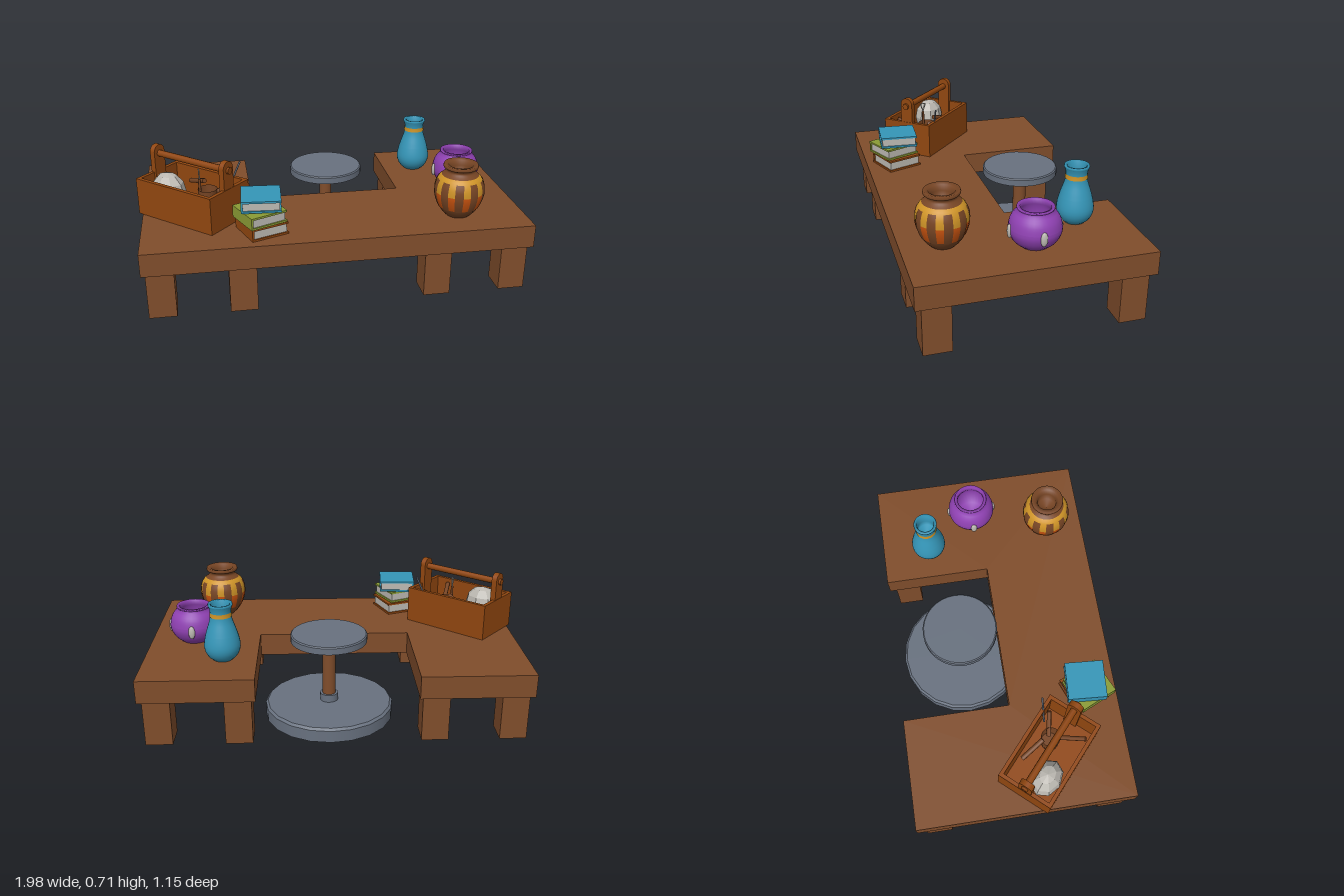
import * as THREE from 'three';

const mat = (name, color, side = THREE.DoubleSide) => {
  const m = new THREE.MeshStandardMaterial({ color, side });
  m.name = name;
  return m;
};

export function createModel() {
  const wood = mat('table wood', 0x804d2b);
  const boxWood = mat('toolbox wood', 0x914710);
  const metal = mat('grey metal', 0x68717f);
  const blue = mat('blue glaze', 0x3596b8);
  const purple = mat('purple glaze', 0x8f41b2);
  const gold = mat('gold glaze', 0xcf9427);
  const orange = mat('orange glaze', 0xc9530f);
  const green = mat('green cover', 0x8b9c35);
  const pale = mat('pale grey', 0xbcb9b2);
  const clay = mat('clay brown', 0x774524);

  const model = new THREE.Group();
  model.name = 'potteryTable';

  const add = (parent, name, geometry, material, x = 0, y = 0, z = 0) => {
    const mesh = new THREE.Mesh(geometry, material);
    mesh.name = name;
    mesh.position.set(x, y, z);
    parent.add(mesh);
    return mesh;
  };
  const group = (name, x, y, z, turn = 0) => {
    const g = new THREE.Group();
    g.name = name;
    g.position.set(x, y, z);
    g.rotation.y = THREE.MathUtils.degToRad(turn);
    model.add(g);
    return g;
  };
  const box = (w, h, d) => new THREE.BoxGeometry(w, h, d);
  const disc = (rTop, rBottom, h, sides = 20) => new THREE.CylinderGeometry(rTop, rBottom, h, sides);
  // Thin rod between two points
  const rod = (parent, name, a, b, r, material) => {
    const p = new THREE.Vector3(...a), q = new THREE.Vector3(...b);
    const mesh = add(parent, name, disc(r, r, p.distanceTo(q), 8), material);
    mesh.position.copy(p).lerp(q, 0.5);
    mesh.quaternion.setFromUnitVectors(new THREE.Vector3(0, 1, 0), q.sub(p).normalize());
    return mesh;
  };

  // Smooth pot outline, and slices of it for glaze bands
  const outline = (pts) => new THREE.SplineCurve(pts.map(p => new THREE.Vector2(...p))).getPoints(48);
  const radiusAt = (line, y) => {
    const i = Math.max(1, line.findIndex(p => p.y >= y));
    const a = line[i - 1], b = line[i];
    return THREE.MathUtils.lerp(a.x, b.x, (y - a.y) / (b.y - a.y));
  };
  const slice = (line, y0, y1, grow = 0, phi = 0, arc = Math.PI * 2, sides = 32) => {
    const pts = [];
    for (let i = 0; i <= 8; i++) {
      const y = THREE.MathUtils.lerp(y0, y1, i / 8);
      pts.push(new THREE.Vector2(radiusAt(line, y) + grow, y));
    }
    return new THREE.LatheGeometry(pts, sides, phi, arc);
  };
  const lathe = (pts) => new THREE.LatheGeometry(pts.map(p => new THREE.Vector2(...p)), 32);

  // U-shaped table top
  const top = new THREE.Shape([[-0.97, -0.575], [-0.395, -0.575], [-0.395, -0.005], [0.415, -0.005],
    [0.415, -0.575], [0.995, -0.575], [0.995, 0.575], [-0.97, 0.575]].map(p => new THREE.Vector2(...p)));
  const topGeo = new THREE.ExtrudeGeometry(top, { depth: 0.12, bevelEnabled: false });
  topGeo.rotateX(Math.PI / 2);
  add(model, 'tableTop', topGeo, wood, 0, 0.37, 0);

  // Eight square legs, open underneath
  const legGeo = new THREE.CylinderGeometry(0.0972, 0.0972, 0.25, 4, 1, true).rotateY(Math.PI / 4).toNonIndexed();
  legGeo.computeVertexNormals();
  for (const x of [-0.883, -0.483, 0.506, 0.908])
    for (const z of [-0.472, 0.474]) add(model, 'leg', legGeo, wood, x, 0.125, z);

  // Potter's wheel
  const wheel = group('pottersWheel', 0.045, 0, -0.208);
  add(wheel, 'flywheel', disc(0.342, 0.342, 0.063), metal, 0, 0.0315, 0);
  add(wheel, 'flywheelBevel', disc(0.33, 0.342, 0.012), metal, 0, 0.069, 0);
  add(wheel, 'collar', disc(0.048, 0.048, 0.04), metal, 0, 0.095, 0);
  add(wheel, 'shaft', disc(0.035, 0.035, 0.34), wood, 0, 0.255, 0);
  add(wheel, 'wheelHead', disc(0.202, 0.202, 0.034, 32), metal, 0, 0.437, 0);
  add(wheel, 'wheelHeadBevel', disc(0.196, 0.202, 0.006, 32), metal, 0, 0.457, 0);

  // Blue vase
  const vase = group('blueVase', 0.59, 0.37, -0.313);
  const vaseLine = outline([[0.05, 0], [0.077, 0.025], [0.092, 0.065], [0.088, 0.11], [0.073, 0.165],
    [0.058, 0.21], [0.053, 0.24], [0.053, 0.265], [0.06, 0.288]]);
  add(vase, 'vaseBody', slice(vaseLine, 0, 0.14), blue);
  add(vase, 'vaseNeck', slice(vaseLine, 0.14, 0.287), blue);
  add(vase, 'vaseBand', slice(vaseLine, 0.234, 0.256, 0.003), gold);
  add(vase, 'vaseLip', lathe([[0.06, 0.287], [0.063, 0.293], [0.06, 0.301], [0.047, 0.298], [0.044, 0.25], [0.05, 0.2], [0, 0.19]]), blue);

  // Purple pot with four inlaid stones
  const pot = group('purplePot', 0.765, 0.37, -0.045);
  const potLine = outline([[0.07, 0], [0.105, 0.03], [0.125, 0.07], [0.127, 0.1], [0.117, 0.14], [0.098, 0.168], [0.086, 0.18], [0.087, 0.19]]);
  add(pot, 'potBody', slice(potLine, 0, 0.1), purple);
  add(pot, 'potShoulder', slice(potLine, 0.1, 0.189), purple);
  add(pot, 'potLip', lathe([[0.087, 0.188], [0.09, 0.192], [0.088, 0.198], [0.072, 0.196], [0.074, 0.17], [0.1, 0.11], [0.075, 0.03], [0, 0.02]]), purple);
  for (let i = 0; i < 4; i++) {
    const a = i * Math.PI / 2;
    const stone = add(pot, 'stone', new THREE.SphereGeometry(1, 12, 8), pale, Math.sin(a) * 0.125, 0.084, Math.cos(a) * 0.125);
    stone.scale.set(0.018, 0.036, 0.012);
    stone.rotation.y = a;
  }

  // Striped urn
  const urn = group('stripedUrn', 0.65, 0.37, 0.368);
  const urnLine = outline([[0.06, 0], [0.085, 0.025], [0.107, 0.06], [0.123, 0.105], [0.127, 0.14],
    [0.122, 0.18], [0.105, 0.213], [0.085, 0.228], [0.071, 0.242], [0.075, 0.256], [0.086, 0.262]]);
  for (const [name, y0, y1, m] of [['urnFoot', 0, 0.053, clay], ['urnBelly', 0.053, 0.135, orange],
    ['urnShoulder', 0.135, 0.222, gold], ['urnNeck', 0.222, 0.261, clay]])
    add(urn, name, slice(urnLine, y0, y1), m);
  add(urn, 'urnLip', lathe([[0.086, 0.261], [0.089, 0.268], [0.086, 0.28], [0.062, 0.275], [0.05, 0.25], [0.05, 0.2], [0, 0.19]]), clay);
  for (let i = 0; i < 10; i++)
    add(urn, 'urnStripe', slice(urnLine, 0.05, 0.203, 0.002, Math.PI / 2 + i * Math.PI / 5 - 0.17, 0.34, 4), clay);

  // Stack of three books, spines on the left edge
  const book = (name, x, y, z, turn, h, cover) => {
    const g = group(name, x, y, z, turn);
    add(g, 'pages', box(0.18, h - 0.02, 0.185), pale, 0, h / 2, 0);
    for (const cy of [0.005, h - 0.005]) add(g, 'cover', box(0.195, 0.01, 0.2), cover, 0, cy, 0);
    add(g, 'spine', box(0.01, h, 0.2), cover, -0.0935, h / 2, 0);
  };
  book('lowerBook', -0.373, 0.372, 0.405, 21, 0.064, boxWood);
  book('middleBook', -0.383, 0.44, 0.418, 24, 0.062, green);
  book('upperBook', -0.373, 0.506, 0.395, -4, 0.06, blue);

  // Open toolbox
  const tools = group('toolbox', -0.705, 0.37, 0.15, -41.5);
  const L = 0.49, W = 0.302, H = 0.195, T = 0.02;
  add(tools, 'toolboxFloor', box(L - T, T, W - T), boxWood, 0, T / 2 + 0.001, 0);
  for (const s of [-1, 1]) {
    add(tools, 'toolboxSide', box(L, H, T), boxWood, 0, H / 2, s * (W - T) / 2);
    add(tools, 'toolboxEnd', box(T, H, W - 2 * T), boxWood, s * (L - T) / 2, H / 2, 0);
  }
  // Round-topped posts carrying the handle
  const post = new THREE.Shape();
  post.moveTo(-0.037, 0.01);
  post.lineTo(0.037, 0.01);
  post.lineTo(0.037, 0.303);
  post.absarc(0, 0.303, 0.037, 0, Math.PI, false);
  post.closePath();
  const postGeo = new THREE.ExtrudeGeometry(post, { depth: 0.03, bevelEnabled: false, curveSegments: 10 });
  postGeo.translate(0, 0, -0.015).rotateY(Math.PI / 2);
  for (const s of [-1, 1]) add(tools, 'handlePost', postGeo, boxWood, s * 0.228, 0, 0);
  rod(tools, 'handle', [-0.255, 0.293, 0], [0.255, 0.293, 0], 0.018, boxWood);

  // Lump of pale clay
  const lumpGeo = new THREE.SphereGeometry(1, 8, 6).toNonIndexed();
  lumpGeo.computeVertexNormals();
  const lump = add(tools, 'clayLump', lumpGeo, pale, -0.115, 0.122, 0.055);
  lump.scale.set(0.1, 0.102, 0.078);

  // Hand tools: small cup, wooden sticks, wire loop and needle
  const cup = add(tools, 'toolCup', new THREE.CylinderGeometry(0.05, 0.045, 0.12, 16, 1, true), clay, 0.07, 0.085, -0.035);
  add(cup, 'cupBase', disc(0.046, 0.046, 0.01, 16), clay, 0, -0.05, 0);
  rod(tools, 'woodenStick', [-0.1, 0.13, -0.1], [0.03, 0.17, -0.06], 0.013, clay);
  rod(tools, 'woodenStick', [0.08, 0.1, -0.05], [0.17, 0.18, -0.11], 0.012, clay);
  rod(tools, 'woodenStick', [0.1, 0.1, 0.0], [0.15, 0.17, 0.12], 0.012, clay);
  rod(tools, 'needle', [0.13, 0.1, -0.11], [0.185, 0.275, -0.165], 0.005, metal);
  rod(tools, 'loopHandle', [0.05, 0.08, -0.0], [0.05, 0.205, -0.0], 0.007, clay);
  const loop = [[0.05, 0.205, 0], [0.038, 0.253, -0.011], [0.062, 0.253, 0.011]];
  loop.forEach((p, i) => rod(tools, 'wireLoop', p, loop[(i + 1) % 3], 0.003, pale));

  return model;
}
